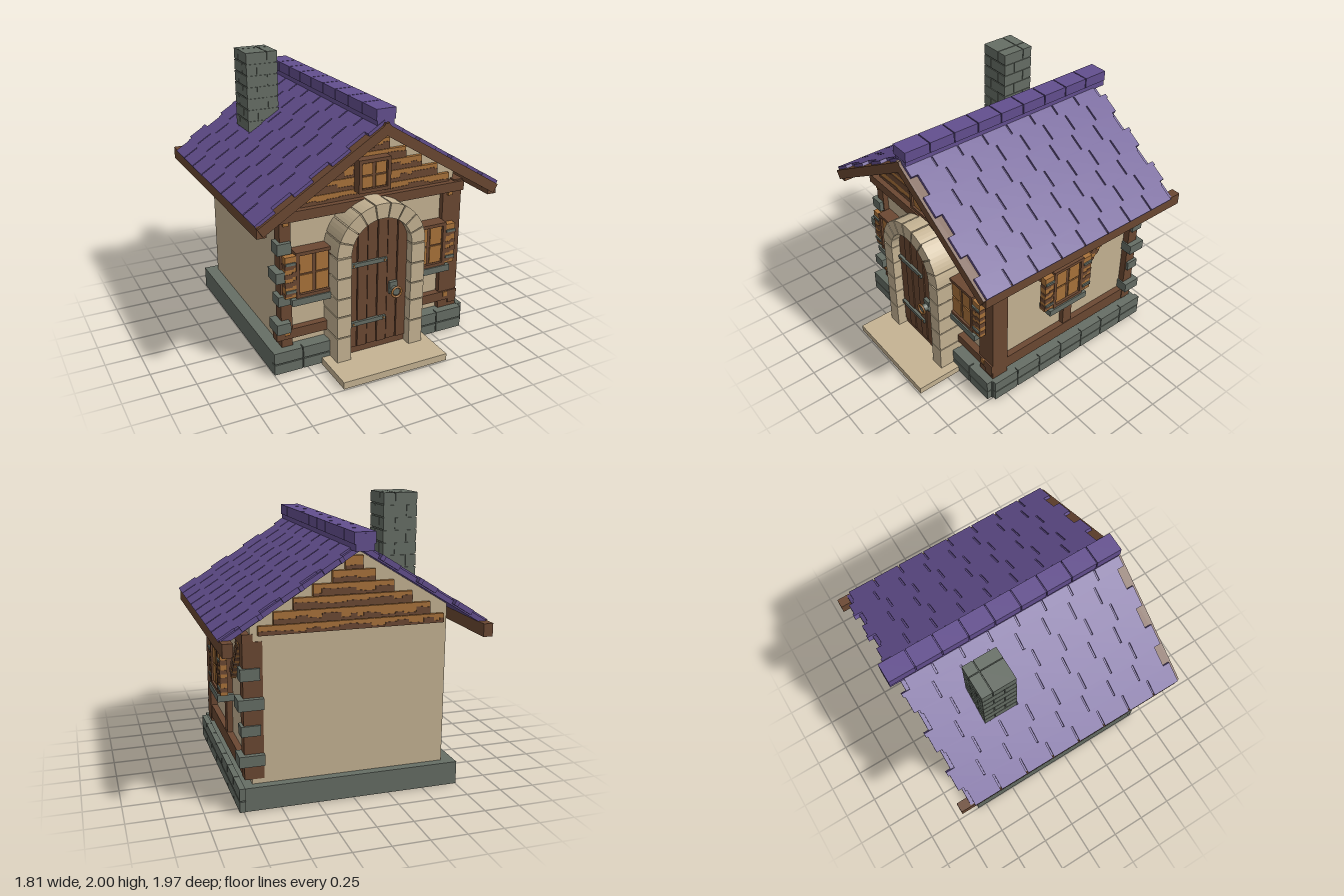
import * as THREE from 'three';

const mat = (name, color) => {
  const m = new THREE.MeshStandardMaterial({ color });
  m.name = name;
  return m;
};

export function createModel() {
  const timber = mat('dark timber', 0x6b4832);
  const plank = mat('orange wood', 0xa9723a);
  const plaster = mat('plaster', 0xc5b393);
  const stone = mat('grey stone', 0x666e65);
  const tile = mat('purple tile', 0x634f8f);

  const house = new THREE.Group();
  house.name = 'cottage';
  let seed = 7;
  const rnd = () => (seed = (seed * 16807) % 2147483647) / 2147483647;

  const group = (name, parent = house) => {
    const g = new THREE.Group();
    g.name = name;
    parent.add(g);
    return g;
  };
  const mesh = (name, geo, m, parent) => {
    const o = new THREE.Mesh(geo, m);
    o.name = name;
    parent.add(o);
    return o;
  };
  // Box given by its limits on each axis
  const box = (name, m, x0, x1, y0, y1, z0, z1, parent = house) => {
    const o = mesh(name, new THREE.BoxGeometry(x1 - x0, y1 - y0, z1 - z0), m, parent);
    o.position.set((x0 + x1) / 2, (y0 + y1) / 2, (z0 + z1) / 2);
    return o;
  };
  const extrude = (name, m, pts, z0, z1, parent = house) => {
    const s = new THREE.Shape(pts.map(p => new THREE.Vector2(p[0], p[1])));
    const o = mesh(name, new THREE.ExtrudeGeometry(s, { depth: z1 - z0, bevelEnabled: false }), m, parent);
    o.position.z = z0;
    return o;
  };

  // Plinth: plain core, faced with blocks on the front and +x side
  box('plinth', stone, -0.75, 0.75, 0.004, 0.165, -0.82, 0.61);
  const blocks = group('plinthBlocks');
  for (const [y0, y1] of [[0.008, 0.08], [0.088, 0.17]]) {
    for (let i = 0; i < 7; i++) {
      const a = -0.75 + i * 0.2143;
      box('frontBlock', stone, a, a + 0.207, y0, y1, 0.6, 0.65, blocks);
      const z = -0.83 + i * 0.2057;
      box('sideBlock', stone, 0.74, 0.78, y0, y1, z, z + 0.199, blocks);
    }
  }
  box('doorStep', plaster, -0.4, 0.4, 0, 0.05, 0.45, 0.99);

  // Plastered walls with gables
  extrude('walls', plaster, [[-0.66, 0.165], [0.68, 0.165], [0.68, 1.28], [0, 1.69], [-0.66, 1.28]], -0.76, 0.55);

  // Timber frame
  const frame = group('timberFrame');
  box('cornerPost', timber, 0.58, 0.73, 0.17, 1.12, 0.46, 0.59, frame);
  box('leftPost', timber, -0.67, -0.59, 0.17, 1.12, 0.5, 0.59, frame);
  box('backPost', timber, 0.6, 0.73, 0.2, 1.12, -0.765, -0.68, frame);
  box('middlePost', timber, 0.66, 0.72, 0.2, 1.12, -0.15, -0.07, frame);
  box('frontSill', timber, -0.71, 0.73, 0.23, 0.3, 0.53, 0.6, frame);
  box('frontBeam', timber, -0.71, 0.73, 1.09, 1.16, 0.53, 0.62, frame);
  box('sideSill', timber, 0.66, 0.725, 0.2, 0.3, -0.76, 0.6, frame);
  box('sideBeam', timber, 0.66, 0.73, 1.09, 1.17, -0.765, 0.6, frame);
  for (const x of [-0.63, 0.63]) for (const y of [0.28, 1.08])
    box('peg', plank, x - 0.018, x + 0.018, y - 0.018, y + 0.018, 0.59, 0.608, frame);

  // Orange board with worn dark bands, facing +z, centred on its origin
  const wornBoard = (name, w, h, d, parent) => {
    const g = group(name, parent);
    box('board', plank, -w / 2, w / 2, -h / 2, h / 2, 0, d, g);
    for (let y = -h / 2 + 0.015; y < h / 2 - 0.04; y += 0.065) {
      const t = 0.02 + rnd() * 0.02, cut = w * (rnd() - 0.3) * 0.5;
      box('wornBand', timber, -w / 2 - 0.002, cut, y, y + t, 0.002, d + 0.003, g);
      box('wornBand', timber, cut, w / 2 + 0.002, y + 0.01, y + t + 0.012, 0.002, d + 0.003, g);
    }
    return g;
  };

  // Diagonal braces on the +x wall: [z, y] of both ends
  for (const [za, ya, zb, yb] of [[0.33, 1.09, 0.09, 0.81], [-0.56, 1.09, -0.28, 0.77]]) {
    const pivot = group('brace');
    pivot.position.set(0.67, (ya + yb) / 2, (za + zb) / 2);
    pivot.rotation.y = Math.PI / 2;
    const b = wornBoard('braceBoard', 0.065, Math.hypot(za - zb, ya - yb), 0.045, pivot);
    b.rotation.z = Math.atan2(za - zb, ya - yb);
  }

  // Window facing +z; shutters: sides (-1 / 1) that carry one
  const makeWindow = (name, w, h, shutters, sill) => {
    const g = group(name);
    box('casing', timber, -w / 2, w / 2, -h / 2, h / 2, -0.05, 0.04, g);
    const b = 0.03, pw = w / 2 - b - 0.012, ph = h / 2 - b - 0.006;
    for (const x of [-1, 1]) {
      for (const y of [-1, 1]) {
        const cx = x * (pw / 2 + 0.012), cy = y * (ph / 2 + 0.006);
        box('pane', plank, cx - pw / 2, cx + pw / 2, cy - ph / 2, cy + ph / 2, 0.04, 0.048, g);
      }
      box('casingSide', timber, x * (w / 2 - 0.012) - 0.012, x * (w / 2 - 0.012) + 0.012, -h / 2, h / 2, 0.03, 0.06, g);
      box('casingRail', timber, -w / 2, w / 2, x * (h / 2 - 0.012) - 0.012, x * (h / 2 - 0.012) + 0.012, 0.03, 0.06, g);
    }
    for (const s of shutters) {
      const sh = wornBoard('shutter', 0.078, h - 0.03, 0.05, g);
      sh.position.set(s * (w / 2 + 0.039), -0.005, 0.005);
      for (const y of [-0.1, 0.1])
        box('shutterHinge', stone, -0.036, 0.036, y - 0.009, y + 0.009, 0.04, 0.06, sh);
    }
    if (sill) box('windowSill', stone, -w / 2 - 0.035, w / 2 + 0.035, -h / 2 - 0.048, -h / 2, -0.05, 0.07, g);
    return g;
  };
  for (const s of [-1, 1])
    makeWindow('frontWindow', 0.27, 0.33, [s], true).position.set(s * 0.445, 0.715, 0.59);
  const sideWindow = makeWindow('sideWindow', 0.27, 0.33, [-1, 1], true);
  sideWindow.position.set(0.725, 0.765, -0.04);
  sideWindow.rotation.y = Math.PI / 2;
  makeWindow('atticWindow', 0.24, 0.23, [], false).position.set(0, 1.325, 0.585);

  // Corner stones: front left and back right
  const quoins = group('cornerStones');
  [[0.3, 0.375, 1], [0.5, 0.57, 0], [0.68, 0.755, 1], [0.87, 0.95, 0]].forEach(([y0, y1, big]) => {
    const e = big * 0.02;
    box('frontQuoin', stone, -0.7 - e, -0.6 - e, y0, y1, 0.52 - e, 0.62 + e, quoins);
    box('backQuoin', stone, 0.62 - e, 0.75 + e, y0, y1, -0.78 - e, -0.69 + e, quoins);
  });

  // Weatherboarded gables, front and back
  for (const s of [1, -1]) {
    const g = group(s > 0 ? 'frontGable' : 'backGable');
    if (s < 0) g.rotation.y = Math.PI;
    const z = s > 0 ? 0.55 : 0.76;
    const rows = [1.16, 1.225, 1.31, 1.39, 1.47, 1.55, 1.64];
    for (let i = 0; i < 6; i++) {
      const y0 = rows[i], y1 = rows[i + 1] - 0.004;
      const w = Math.max(0.06, Math.min(0.63, (1.635 - y1) / 0.62));
      box('gableBoard', plank, -w, w, y0, y1, z - 0.02, z + 0.025, g);
      for (let x = -w; x < w - 0.001;) {
        const x1 = Math.min(w, x + 0.03 + rnd() * 0.07);
        const h = (y1 - y0) * (0.2 + rnd() * 0.5);
        box('wornPatch', timber, x, x1, y0, y0 + h, z + 0.024, z + 0.029, g);
        x = x1;
      }
    }
  }

  // Stone door surround
  const arch = group('doorSurround');
  const ring = (r0, r1, a0, a1) => {
    const pts = [];
    const n = 4;
    for (let i = 0; i <= n; i++) { const a = a0 + (a1 - a0) * i / n; pts.push([r1 * Math.cos(a), 0.83 + r1 * Math.sin(a)]); }
    for (let i = n; i >= 0; i--) { const a = a0 + (a1 - a0) * i / n; pts.push([r0 * Math.cos(a), 0.83 + r0 * Math.sin(a)]); }
    return pts;
  };
  for (let i = 0; i < 9; i++) {
    const a = Math.PI * i / 9, b = Math.PI * (i + 1) / 9;
    extrude('archStone', plaster, ring(0.23, 0.335, a + 0.014, b - 0.014), 0.55, 0.76, arch);
    extrude('archMortar', plaster, ring(0.236, 0.328, a, b), 0.55, 0.75, arch);
  }
  const joints = [0.05, 0.24, 0.4, 0.535, 0.685, 0.83];
  for (const s of [-1, 1]) {
    for (let i = 0; i < 5; i++)
      box('jambStone', plaster, s * 0.2825 - 0.0525, s * 0.2825 + 0.0525, joints[i], joints[i + 1] - 0.008, 0.55, 0.76, arch);
    box('jambMortar', plaster, s * 0.282 - 0.046, s * 0.282 + 0.046, 0.05, 0.83, 0.55, 0.75, arch);
  }

  // Plank door with strap hinges and ring handle
  const door = group('door');
  for (let i = 0; i < 6; i++) {
    const a = -0.23 + i * 0.46 / 6 + 0.003, b = a + 0.46 / 6 - 0.006;
    const pts = [[a, 0.1], [b, 0.1]];
    for (let k = 0; k <= 4; k++) {
      const x = b + (a - b) * k / 4;
      pts.push([x, 0.83 + Math.sqrt(0.235 ** 2 - x * x)]);
    }
    extrude('doorPlank', timber, pts, 0.55, i % 2 ? 0.7 : 0.695, door);
  }
  box('doorBacking', timber, -0.23, 0.23, 0.05, 0.95, 0.55, 0.685, door);
  for (const y of [0.287, 0.732]) {
    box('strapHinge', stone, -0.22, 0.065, y - 0.015, y + 0.015, 0.69, 0.715, door);
    for (const x of [-0.19, 0.045]) box('rivet', plank, x - 0.006, x + 0.006, y - 0.006, y + 0.006, 0.71, 0.72, door);
  }
  box('handlePlate', stone, 0.09, 0.15, 0.46, 0.55, 0.69, 0.72, door);
  const knob = mesh('handleBoss', new THREE.CylinderGeometry(0.026, 0.03, 0.05, 10), stone, door);
  knob.rotation.x = Math.PI / 2;
  knob.position.set(0.12, 0.49, 0.735);
  mesh('handleRing', new THREE.TorusGeometry(0.037, 0.008, 6, 14), plank, door).position.set(0.12, 0.49, 0.762);

  // Roof slopes: staggered shingles over a slab, front rake board, eave beam
  const L = 1.064, tilt = Math.atan2(0.56, 0.905), rowsN = 7;
  for (const s of [-1, 1]) {
    const slope = group('roofSlope');
    slope.position.y = 1.74;
    slope.rotation.z = -s * tilt;
    const sb = (name, m, a, b, ...r) => box(name, m, Math.min(s * a, s * b), Math.max(s * a, s * b), ...r, slope);
    sb('roofSlab', tile, 0, L - 0.005, -0.045, -0.012, -0.9, 0.72);
    sb('rakeBoard', timber, 0, L, -0.09, -0.022, 0.72, 0.79);
    for (let r = 0; r < rowsN; r++) {
      const odd = r % 2, zEnd = odd ? 0.72 : 0.77, zBack = odd ? -0.955 : -0.905;
      const a = r * L / rowsN, b = a + L / rowsN;
      for (let z = zEnd; z > zBack + 0.03; z -= 0.207) {
        const z0 = Math.max(zBack, z - 0.207 + 0.012);
        // Shingle with a narrower head, so slots open only at its lower end
        sb('shingle', tile, a + 0.03, b, -0.035, 0, z0, z);
        sb('shingleHead', tile, a, a + 0.03, -0.035, 0, Math.max(zBack, z - 0.207), z);
      }
    }
    box('eaveBeam', timber, s * 0.86 - 0.033, s * 0.86 + 0.033, 1.09, 1.178, -0.975, 0.77);
  }

  // Ridge caps
  for (let i = 0; i < 9; i++) {
    const z = 0.77 - i * 0.1945;
    box('ridgeCap', tile, -0.07, 0.07, 1.735, 1.81, z - 0.187, z);
  }
  box('ridgeCore', tile, -0.062, 0.062, 1.69, 1.8, -0.975, 0.765);

  // Chimney of staggered bricks round a core
  const chimney = group('chimney');
  box('chimneyCore', stone, -0.51, -0.285, 1.3, 1.99, -0.55, -0.32, chimney);
  for (let i = 0; i < 8; i++) {
    const y1 = 2 - i * 0.083, y0 = y1 - 0.075;
    const xs = i % 2 ? -0.44 : -0.36, zs = i % 2 ? -0.4 : -0.48;
    for (const [x0, x1] of [[-0.516, xs - 0.003], [xs + 0.003, -0.279]])
      for (const [z0, z1] of [[-0.557, zs - 0.003], [zs + 0.003, -0.314]])
        box('chimneyBrick', stone, x0, x1, y0, y1, z0, z1, chimney);
  }
  return house;
}
